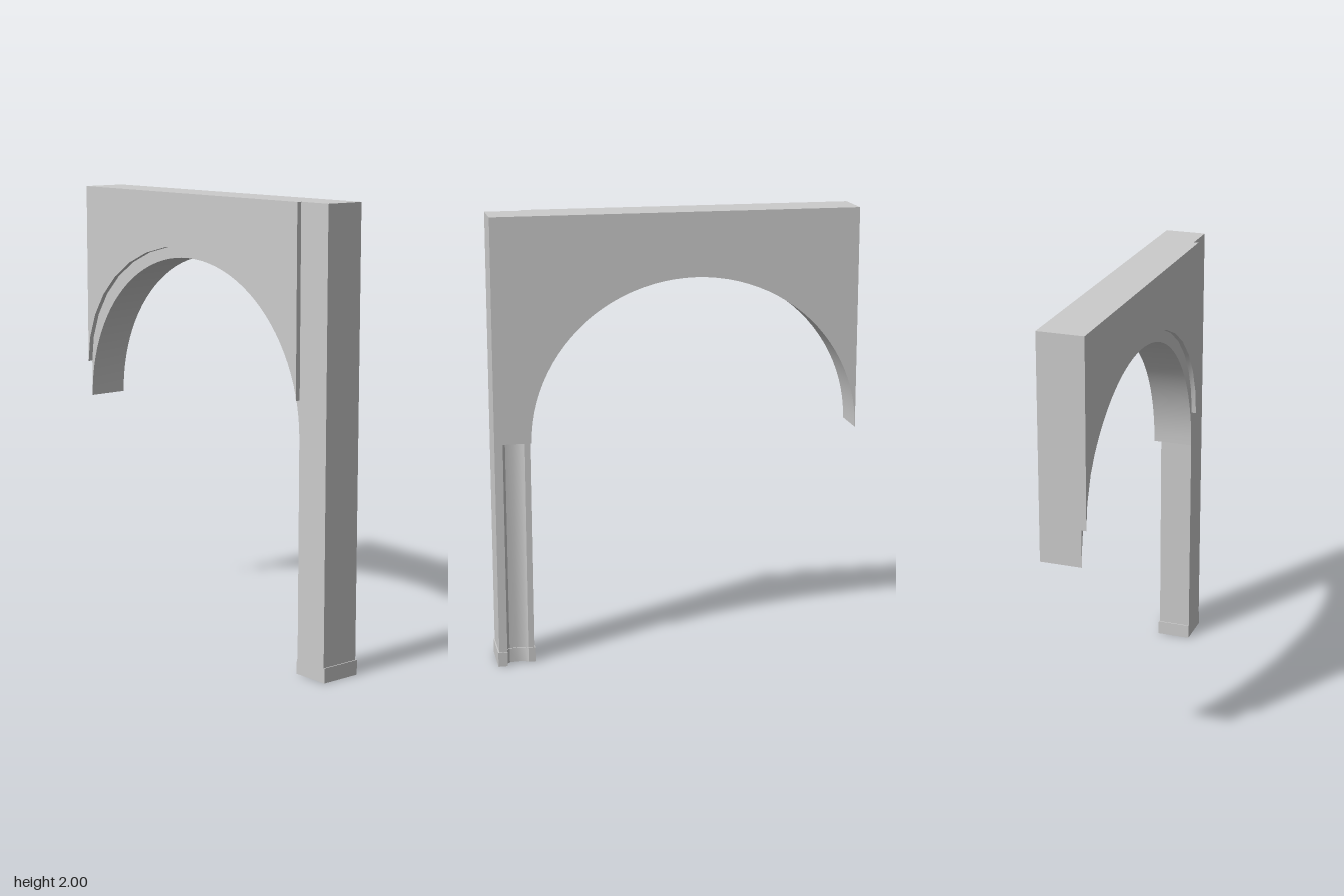
import * as THREE from 'three';
import { toCreasedNormals } from 'three/addons/utils/BufferGeometryUtils.js';

const LEFT_END = -0.812, INNER = 0.644, OUTER = 0.806, TOP = 2;
const BACK = -0.1, FACE = 0.083, FRONT = 0.104, SPRING = 1.015;

export function createModel() {
  const group = new THREE.Group();
  const material = new THREE.MeshStandardMaterial({ color: 0xcccccc });

  const add = (name, geometry) => {
    const mesh = new THREE.Mesh(toCreasedNormals(geometry, 0.5), material);
    mesh.name = name;
    group.add(mesh);
  };

  // Panel with an elliptical arch cut out of its lower edge
  const archedPanel = (right, spring, rise, segments, z0, z1) => {
    const shape = new THREE.Shape();
    shape.moveTo(right, TOP);
    shape.lineTo(LEFT_END, TOP);
    const cx = (LEFT_END + INNER) / 2, rx = (INNER - LEFT_END) / 2;
    for (let i = 0; i <= segments; i++) {
      const a = Math.PI * (1 - i / segments);
      shape.lineTo(cx + rx * Math.cos(a), spring + rise * Math.sin(a));
    }
    if (right > INNER) shape.lineTo(right, spring);
    const geometry = new THREE.ExtrudeGeometry(shape, { depth: z1 - z0, bevelEnabled: false });
    return geometry.translate(0, 0, z0);
  };

  // Pillar section with a shallow fluted recess at the back, extruded upwards
  const pillarPart = (y0, y1, grow) => {
    const section = [
      [INNER - grow, FACE], [OUTER + grow, FACE], [OUTER + grow, BACK - grow],
      [0.77, BACK - grow], [0.768, -0.068 - grow], [0.755, -0.055 - grow],
      [0.72, -0.05 - grow], [0.685, -0.055 - grow], [0.67, -0.066 - grow],
      [INNER - grow, -0.066 - grow],
    ];
    const shape = new THREE.Shape(section.map(([x, z]) => new THREE.Vector2(x, -z)));
    const geometry = new THREE.ExtrudeGeometry(shape, { depth: y1 - y0, bevelEnabled: false });
    return geometry.rotateX(-Math.PI / 2).translate(0, y0, 0);
  };

  add('archWall', archedPanel(OUTER, SPRING, 0.702, 48, BACK, FACE));
  add('frontRelief', archedPanel(INNER, 1.18, 0.588, 16, FACE, FRONT));
  add('pillarShaft', pillarPart(0.065, SPRING, 0));
  add('pillarBase', pillarPart(0, 0.065, 0.005));

  return group;
}
